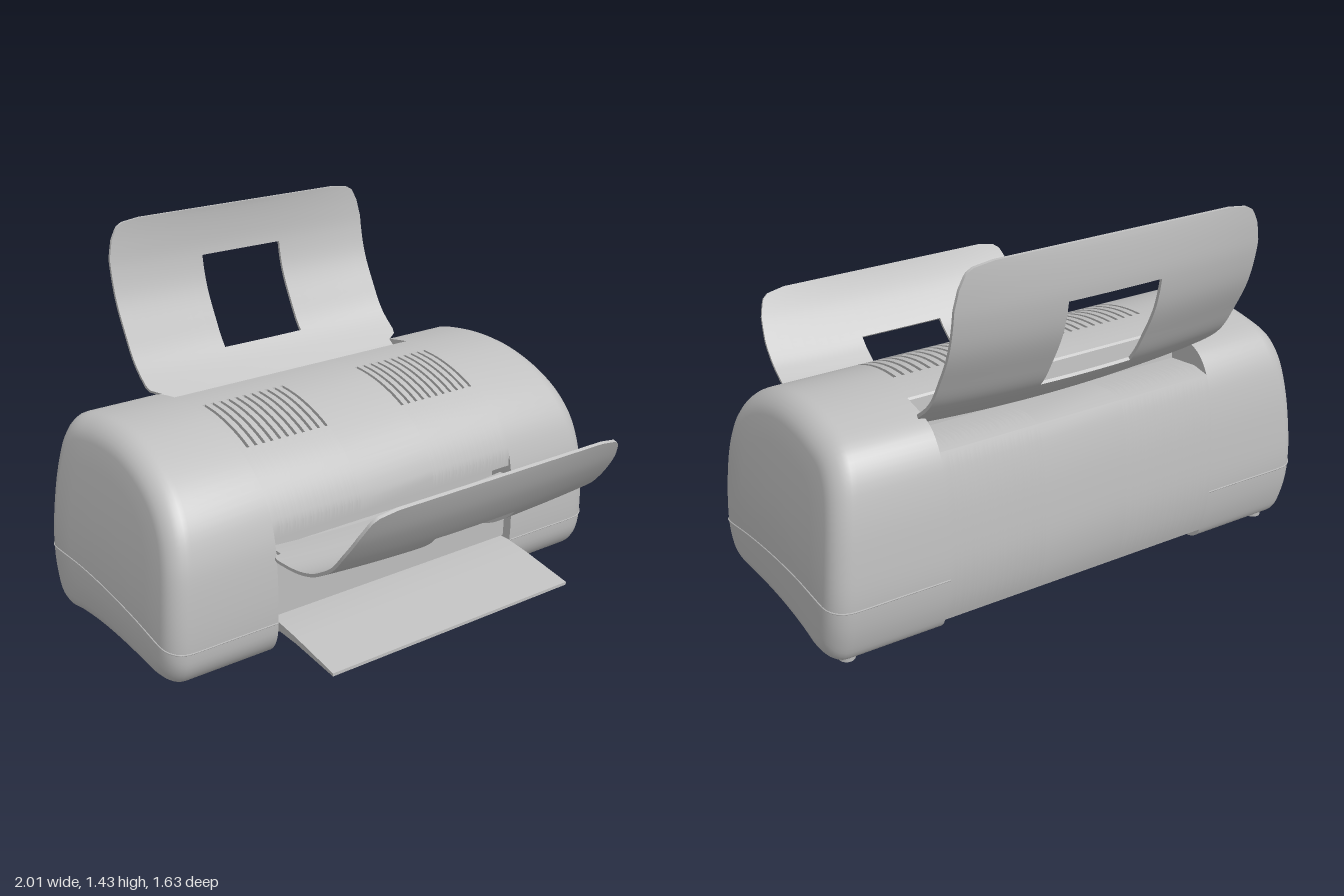
import * as THREE from 'three';
import { toCreasedNormals, mergeGeometries } from 'three/addons/utils/BufferGeometryUtils.js';

const casing = new THREE.MeshStandardMaterial({ color: 0xc0c0c0, side: THREE.DoubleSide });
casing.name = 'light grey plastic';

// Side silhouette as [z, y], running from the front foot to the back and over the top
const SILHOUETTE = [
  [0.14, 0.015], [0.02, 0.025], [-0.14, 0.037], [-0.3, 0.04], [-0.45, 0.03], [-0.57, 0.015],
  [-0.63, 0.04], [-0.665, 0.12], [-0.688, 0.26], [-0.685, 0.42], [-0.665, 0.6], [-0.63, 0.72],
  [-0.57, 0.79], [-0.45, 0.822], [-0.3, 0.835], [-0.15, 0.823], [0, 0.777], [0.12, 0.705],
  [0.2, 0.61], [0.24, 0.5], [0.255, 0.38], [0.255, 0.17], [0.24, 0.085], [0.2, 0.03],
];
const profile = new THREE.CatmullRomCurve3(SILHOUETTE.map(([z, y]) => new THREE.Vector3(0, y, z)), true)
  .getPoints(96).slice(0, -1).map((p) => [p.z, p.y]);

const INNER = 0.56, ROUND = 0.08;
const outerX = (y) => 1 - 0.075 * Math.pow(Math.max(0, (y - 0.16) / 0.67), 1.6);

function mesh(name, geometry) {
  const m = new THREE.Mesh(geometry, casing);
  m.name = name;
  return m;
}

function fromTriangles(positions) {
  const g = new THREE.BufferGeometry();
  g.setAttribute('position', new THREE.Float32BufferAttribute(positions, 3));
  return toCreasedNormals(g, 0.6);
}

// Pushes a quad as two triangles
function quad(out, a, b, c, d) {
  out.push(...a, ...b, ...c, ...a, ...c, ...d);
}

// Extrudes a [z, y] outline from x0 to x1
function slab(outline, x0, x1) {
  const shape = new THREE.Shape(outline.map(([z, y]) => new THREE.Vector2(-z, y)));
  const g = new THREE.ExtrudeGeometry(shape, { depth: x1 - x0, bevelEnabled: false });
  g.rotateY(Math.PI / 2).translate(x0, 0, 0);
  return toCreasedNormals(g, 0.5);
}

// End housing: silhouette rings with a rounded, leaning outer end
function housingGeometry() {
  const ring = (scaleZ, scaleY, xOf) => profile.map(([z, y]) => {
    const yy = 0.42 + (y - 0.42) * scaleY;
    return [xOf(yy), yy, -0.22 + (z + 0.22) * scaleZ];
  });
  const rings = [ring(0, 0, () => INNER), ring(1, 1, () => INNER)];
  for (let k = 0; k <= 7; k++) {
    const a = (k / 7) * Math.PI / 2;
    const inset = ROUND * (1 - Math.cos(a));
    rings.push(ring(1 - inset / 0.47, 1 - inset / 0.41, (y) => outerX(y) - ROUND * (1 - Math.sin(a))));
  }
  for (const s of [0.6, 0.4, 0.2, 0]) rings.push(ring(s, s, outerX));
  const out = [];
  for (let i = 0; i < rings.length - 1; i++) {
    for (let j = 0; j < profile.length; j++) {
      const n = (j + 1) % profile.length;
      quad(out, rings[i][j], rings[i][n], rings[i + 1][n], rings[i + 1][j]);
    }
  }
  return fromTriangles(out);
}

// Seam running round the housing between its upper and lower shells
function seamGeometry() {
  const seamY = (z) => 0.257 - 0.094 * Math.pow(Math.max(0, (z + 0.45) / 0.705), 1.7);
  const pts = [];
  const add = (x, z) => pts.push(new THREE.Vector3(x, seamY(z), z));
  const corner = (a, end, dir) => add(
    outerX(seamY(end)) - ROUND * (1 - Math.sin(a)), end - dir * ROUND * (1 - Math.cos(a)));
  add(INNER, 0.255);
  add(0.75, 0.255);
  for (let k = 0; k <= 5; k++) corner(k * Math.PI / 10, 0.255, 1);
  for (const z of [0, -0.2, -0.4]) add(outerX(seamY(z)), z);
  for (let k = 5; k >= 0; k--) corner(k * Math.PI / 10, -0.688, -1);
  add(0.75, -0.688);
  add(INNER, -0.688);
  return new THREE.TubeGeometry(new THREE.CatmullRomCurve3(pts), 80, 0.003, 5);
}

// Curved paper guide with a handle opening; points follow its side edge as [z, y]
function guideGeometry(points, holeFrom, holeTo, sign) {
  const STEPS = 6, HOLE = 0.185, HALF = 0.6, THICK = 0.012, BOW = 0.026;
  const curve = new THREE.SplineCurve(points.map((p) => new THREE.Vector2(...p)));
  const rows = (points.length - 1) * STEPS;
  const cols = [];
  for (let k = 0; k <= 8; k++) cols.push(-HALF + (HALF - HOLE) * k / 8);
  for (let k = 1; k < 6; k++) cols.push(-HOLE + 2 * HOLE * k / 6);
  for (let k = 0; k <= 8; k++) cols.push(HOLE + (HALF - HOLE) * k / 8);
  // Half width along the length: narrow root, full body, rounded tip
  const widths = [[0, 0.555], [0.15, 0.555], [0.17, 0.6], [0.78, 0.6], [0.88, 0.585],
    [0.95, 0.56], [0.98, 0.53], [1, 0.46]];
  const halfWidth = (t) => {
    const k = Math.max(1, widths.findIndex((w) => w[0] >= t));
    const [a, b] = [widths[k - 1], widths[k]];
    return THREE.MathUtils.mapLinear(t, a[0], b[0], a[1], b[1]);
  };
  const vertex = (i, j, layer) => {
    const t = i / rows, c = cols[j];
    const p = curve.getPoint(t), d = curve.getTangent(t);
    const stretch = (halfWidth(t) - HOLE) / (HALF - HOLE);
    const x = Math.abs(c) <= HOLE ? c : Math.sign(c) * (HOLE + (Math.abs(c) - HOLE) * stretch);
    const off = sign * (BOW * (1 - (x / HALF) ** 2) * (1 - t ** 3) + layer * THICK);
    return [x, p.y - d.x * off, p.x + d.y * off];
  };
  const solid = (i, j) => i >= 0 && j >= 0 && i < rows && j < cols.length - 1 &&
    !(i >= holeFrom * STEPS && i < holeTo * STEPS && j >= 8 && j < 14);
  const out = [];
  const face = (a, b, c, d) => (sign > 0 ? quad(out, a, b, c, d) : quad(out, d, c, b, a));
  for (let i = 0; i < rows; i++) {
    for (let j = 0; j < cols.length - 1; j++) {
      if (!solid(i, j)) continue;
      const ids = [[i, j], [i + 1, j], [i + 1, j + 1], [i, j + 1]];
      const inner = ids.map(([a, b]) => vertex(a, b, 0));
      const outer = ids.map(([a, b]) => vertex(a, b, 1));
      face(...inner);
      face(outer[3], outer[2], outer[1], outer[0]);
      [[i, j - 1], [i + 1, j], [i, j + 1], [i - 1, j]].forEach(([a, b], k) => {
        const n = (k + 1) % 4;
        if (!solid(a, b)) face(inner[n], inner[k], outer[k], outer[n]);
      });
    }
  }
  return fromTriangles(out);
}

// Middle body, sliced across x so that the vent slots are real grooves
function middleGeometry() {
  const cover = profile.filter(([z, y]) => z > -0.42 && y > 0.5);
  const back = profile.filter(([z, y]) => z < -0.6 && y > 0.07 && y < 0.74);
  const inVent = ([z]) => z > -0.29 && z < 0.055;
  const first = cover.findIndex(inVent), last = cover.findLastIndex(inVent);
  const sunk = cover.slice(first, last + 1).map(([z, y]) => [z, y - 0.02]);
  const slotted = [...cover.slice(0, first + 1), ...sunk, ...cover.slice(last)];
  const outline = (top) => [
    [-0.6, 0.05], ...back, [-0.56, 0.73], [-0.43, 0.71], [-0.42, 0.82], ...top,
    [0.232, 0.48], [0.14, 0.47], [0.14, 0.4], [0.225, 0.4], [0.215, 0.17],
    [0.13, 0.165], [0.13, 0.1], [0.17, 0.09], [0.14, 0.05],
  ];
  const plain = outline(cover), vented = outline(slotted);
  const parts = [];
  let x = -INNER;
  for (const start of [-0.525, 0.18]) {
    for (let k = 0; k < 11; k++) {
      const s = start + k * 0.0345 - 0.006;
      parts.push(slab(plain, x, s), slab(vented, s, s + 0.012));
      x = s + 0.012;
    }
  }
  parts.push(slab(plain, x, INNER));
  return mergeGeometries(parts);
}

export function createModel() {
  const model = new THREE.Group();
  model.name = 'printer';
  model.add(mesh('middleBody', middleGeometry()));

  // Mirrored end housings with seam and feet
  const housing = housingGeometry(), seam = seamGeometry();
  const foot = new THREE.CylinderGeometry(0.035, 0.03, 0.04, 20);
  for (const side of [1, -1]) {
    const end = new THREE.Group();
    end.name = side > 0 ? 'leftHousing' : 'rightHousing';
    end.add(mesh('housingShell', housing), mesh('shellSeam', seam));
    for (const z of [0.1, -0.57]) {
      const f = mesh('foot', foot);
      f.position.set(0.9, 0.02, z);
      end.add(f);
    }
    end.scale.x = side;
    model.add(end);
  }

  // Rear paper support and front catch tray
  model.add(mesh('paperSupport', guideGeometry([
    [-0.42, 0.745], [-0.52, 0.812], [-0.63, 0.905], [-0.7, 1.02], [-0.753, 1.13],
    [-0.781, 1.24], [-0.791, 1.34], [-0.793, 1.43]], 2, 5, -1)));
  model.add(mesh('catchTray', guideGeometry([
    [0.19, 0.443], [0.27, 0.449], [0.41, 0.455], [0.51, 0.477], [0.585, 0.515],
    [0.65, 0.565], [0.74, 0.68], [0.802, 0.79]], 2, 5, 1)));

  // Lower output flap
  model.add(mesh('outputFlap', slab([
    [0.13, 0.15], [0.25, 0.13], [0.36, 0.125], [0.58, 0.098], [0.58, 0.11],
    [0.36, 0.15], [0.25, 0.165], [0.13, 0.165]], -INNER + 0.002, INNER - 0.002)));
  return model;
}
